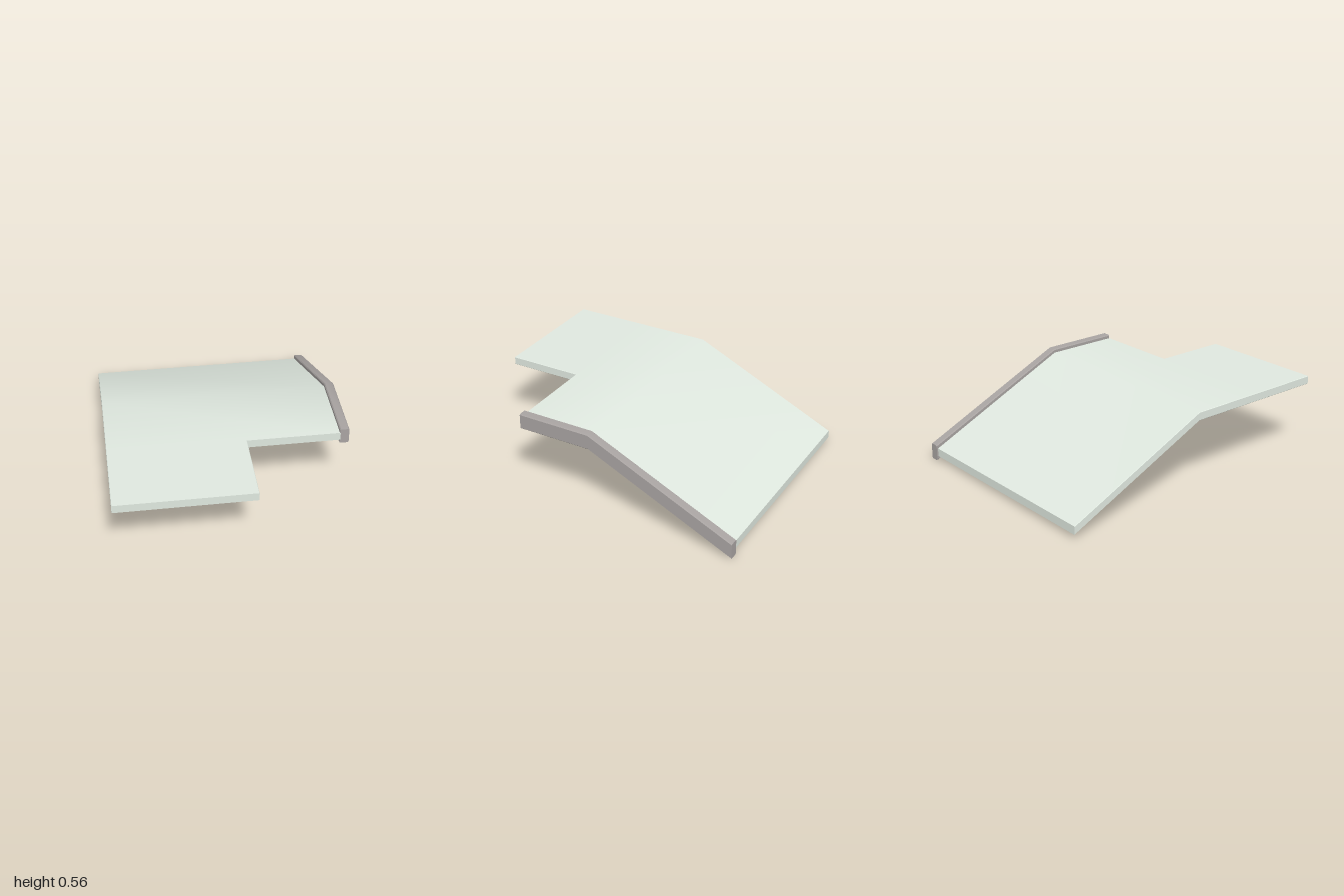
import * as THREE from 'three';
import { toCreasedNormals } from 'three/addons/utils/BufferGeometryUtils.js';

// Cross-section rectangle with small chamfers, counter-clockwise seen from the front
function section({ z, x0, x1, y0, y1 }, c) {
  return [
    [x0 + c, y0], [x1 - c, y0], [x1, y0 + c], [x1, y1 - c],
    [x1 - c, y1], [x0 + c, y1], [x0, y1 - c], [x0, y0 + c],
  ].map(([x, y]) => [x, y, z]);
}

// Solid lofted through sections running from front to back
function loft(sections, chamfer) {
  const loops = sections.map((s) => section(s, chamfer));
  const n = loops[0].length;
  const last = (loops.length - 1) * n;
  const index = [];
  for (let i = 0; i < loops.length - 1; i++) {
    for (let j = 0; j < n; j++) {
      const a = i * n + j, b = i * n + ((j + 1) % n);
      index.push(a, a + n, b + n, a, b + n, b);
    }
  }
  for (let j = 1; j < n - 1; j++) {
    index.push(0, j, j + 1, last, last + j + 1, last + j);
  }
  const geometry = new THREE.BufferGeometry();
  geometry.setAttribute('position', new THREE.Float32BufferAttribute(loops.flat(2), 3));
  geometry.setIndex(index);
  return toCreasedNormals(geometry, 0.6);
}

function part(name, sections, chamfer, color) {
  const mesh = new THREE.Mesh(
    loft(sections, chamfer),
    new THREE.MeshStandardMaterial({ color })
  );
  mesh.name = name;
  return mesh;
}

export function createModel() {
  const model = new THREE.Group();
  model.name = 'foldedPanel';

  // Panel: level front with a notched corner, then sloping down to the back
  const left = -0.765, level = { x0: left, y0: 0.485, y1: 0.54 };
  model.add(part('panel', [
    { z: 1, x1: 0.113, ...level },
    { z: 0.5, x1: 0.113, ...level },
    { z: 0.5, x1: 0.71, ...level },
    { z: 0, x1: 0.71, ...level },
    { z: -0.99, x0: left, x1: 0.71, y0: 0.03, y1: 0.085 },
  ], 0.003, 0xdfe8df));

  // Edge rail following the same fold
  const rail = { x0: 0.705, x1: 0.765 };
  model.add(part('edgeRail', [
    { z: 0.5, y0: 0.46, y1: 0.565, ...rail },
    { z: 0, y0: 0.46, y1: 0.565, ...rail },
    { z: -1, y0: 0, y1: 0.108, ...rail },
  ], 0.006, 0xa8a3a1));

  return model;
}
